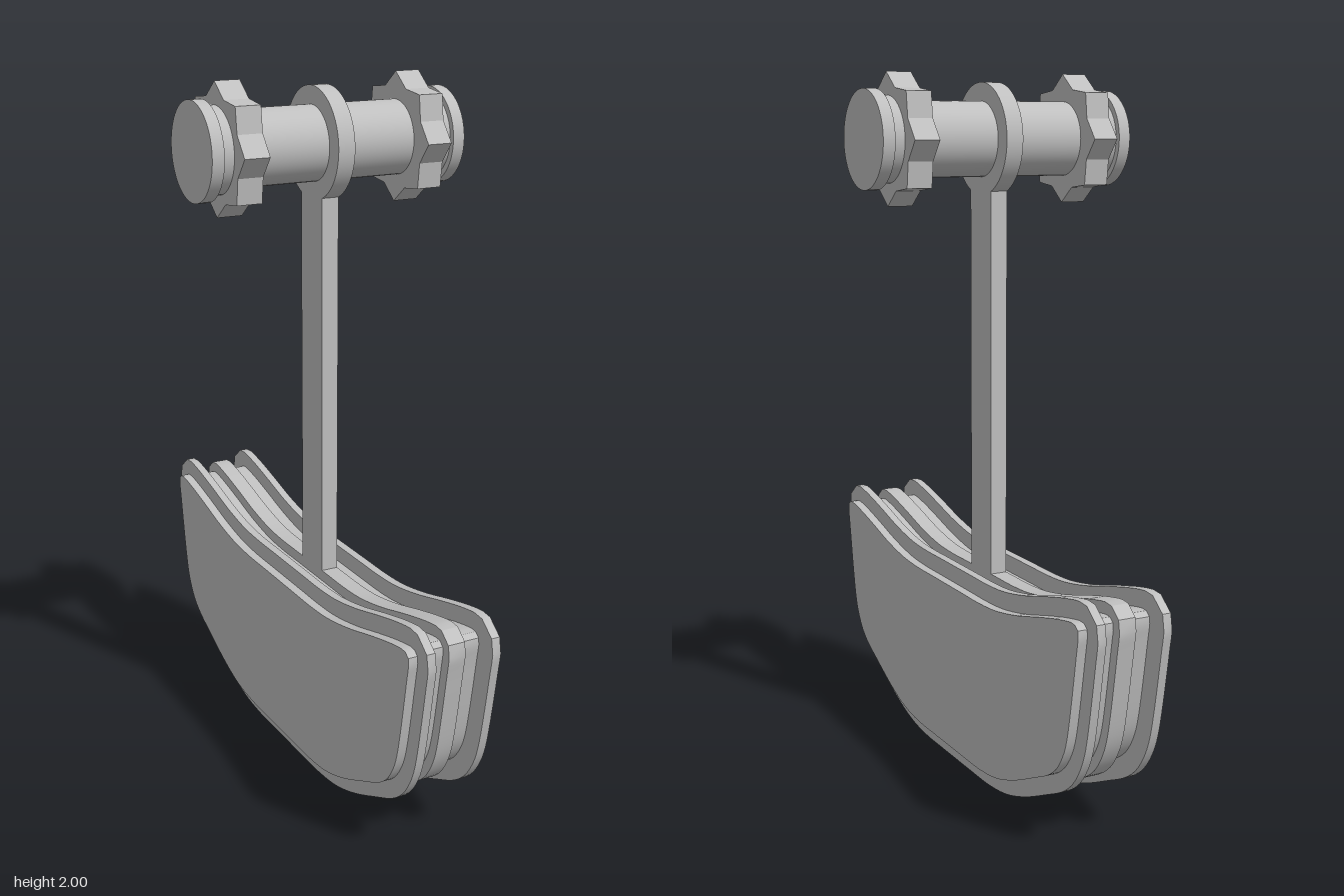
import * as THREE from 'three';
import { toCreasedNormals } from 'three/addons/utils/BufferGeometryUtils.js';

const AXLE_Y = 1.82;

// Half of the blade's inner outline as (z, y), from top centre round to bottom centre
const halfOutline = new THREE.CatmullRomCurve3([
  [0, 0.546], [0.1, 0.546], [0.2, 0.546], [0.3, 0.552], [0.42, 0.573], [0.55, 0.606],
  [0.65, 0.629], [0.712, 0.638], [0.73, 0.634], [0.739, 0.624], [0.741, 0.608],
  [0.735, 0.57], [0.69, 0.315], [0.67, 0.265], [0.64, 0.222], [0.6, 0.19],
  [0.52, 0.15], [0.4, 0.095], [0.3, 0.063], [0.2, 0.051], [0.1, 0.05], [0, 0.05],
].map(([z, y]) => new THREE.Vector3(z, y, 0)));

// Outline grown outwards by an offset, mirrored to a full closed shape
function bladeShape(offset, scaleZ = 1) {
  const half = [];
  const steps = 96;
  for (let i = 0; i <= steps; i++) {
    const p = halfOutline.getPointAt(i / steps);
    const t = halfOutline.getTangentAt(i / steps);
    const end = i === 0 || i === steps;
    half.push(new THREE.Vector2(end ? 0 : (p.x - t.y * offset) * scaleZ, p.y + t.x * offset));
  }
  const mirrored = half.slice(1, -1).reverse().map((p) => new THREE.Vector2(-p.x, p.y));
  return new THREE.Shape([...half, ...mirrored]);
}

// Shape drawn in (z, y) extruded between two x positions
function slab(shape, x0, x1, crease) {
  const geo = new THREE.ExtrudeGeometry(shape, { depth: x1 - x0, bevelEnabled: false });
  geo.rotateY(Math.PI / 2).translate(x0, 0, 0);
  return toCreasedNormals(geo, crease);
}

// Disc or rod lying along x between two positions
function rod(radius, x0, x1) {
  return new THREE.CylinderGeometry(radius, radius, x1 - x0, 64)
    .rotateZ(Math.PI / 2).translate((x0 + x1) / 2, AXLE_Y, 0);
}

// Eight-pointed star outline around the axle
function starShape(outer, inner) {
  const pts = [];
  for (let i = 0; i < 16; i++) {
    const a = (i / 16) * Math.PI * 2;
    const r = i % 2 ? inner : outer;
    pts.push(new THREE.Vector2(Math.cos(a) * r, AXLE_Y + Math.sin(a) * r));
  }
  return new THREE.Shape(pts);
}

export function createModel() {
  const model = new THREE.Group();
  model.name = 'pendulum';
  const grey = new THREE.MeshStandardMaterial({ color: 0xc0c0c0 });
  grey.name = 'light grey';

  const add = (name, geometry) => {
    const mesh = new THREE.Mesh(geometry, grey);
    mesh.name = name;
    model.add(mesh);
  };

  // Weighted blade: core, central ridge, and a flange with a raised face on each side
  add('bladeCore', slab(bladeShape(0, 0.98), -0.09, 0.09, 0.6));
  add('bladeRidge', slab(bladeShape(0.032, 0.978), -0.025, 0.025, 0.6));
  add('leftFlange', slab(bladeShape(0.05), 0.085, 0.11, 0.6));
  add('rightFlange', slab(bladeShape(0.05), -0.11, -0.085, 0.6));
  add('leftFacePlate', slab(bladeShape(0), 0.11, 0.137, 0.6));
  add('rightFacePlate', slab(bladeShape(0), -0.137, -0.11, 0.6));

  // Stem and the collar holding it to the axle
  const stem = new THREE.BoxGeometry(0.05, 1.16, 0.124);
  stem.translate(0, 1.12, 0);
  add('stem', stem);
  add('collar', rod(0.155, -0.025, 0.025));
  add('axle', rod(0.104, -0.31, 0.31));

  // Star hub, neck and end cap on both ends of the axle
  for (const [side, s] of [['left', 1], ['right', -1]]) {
    const span = (a, b) => (s > 0 ? [a, b] : [-b, -a]);
    add(side + 'StarHub', slab(starShape(0.18, 0.147), ...span(0.237, 0.31), 0.1));
    add(side + 'Neck', rod(0.118, ...span(0.305, 0.35)));
    add(side + 'EndCap', rod(0.135, ...span(0.345, 0.38)));
  }
  return model;
}
